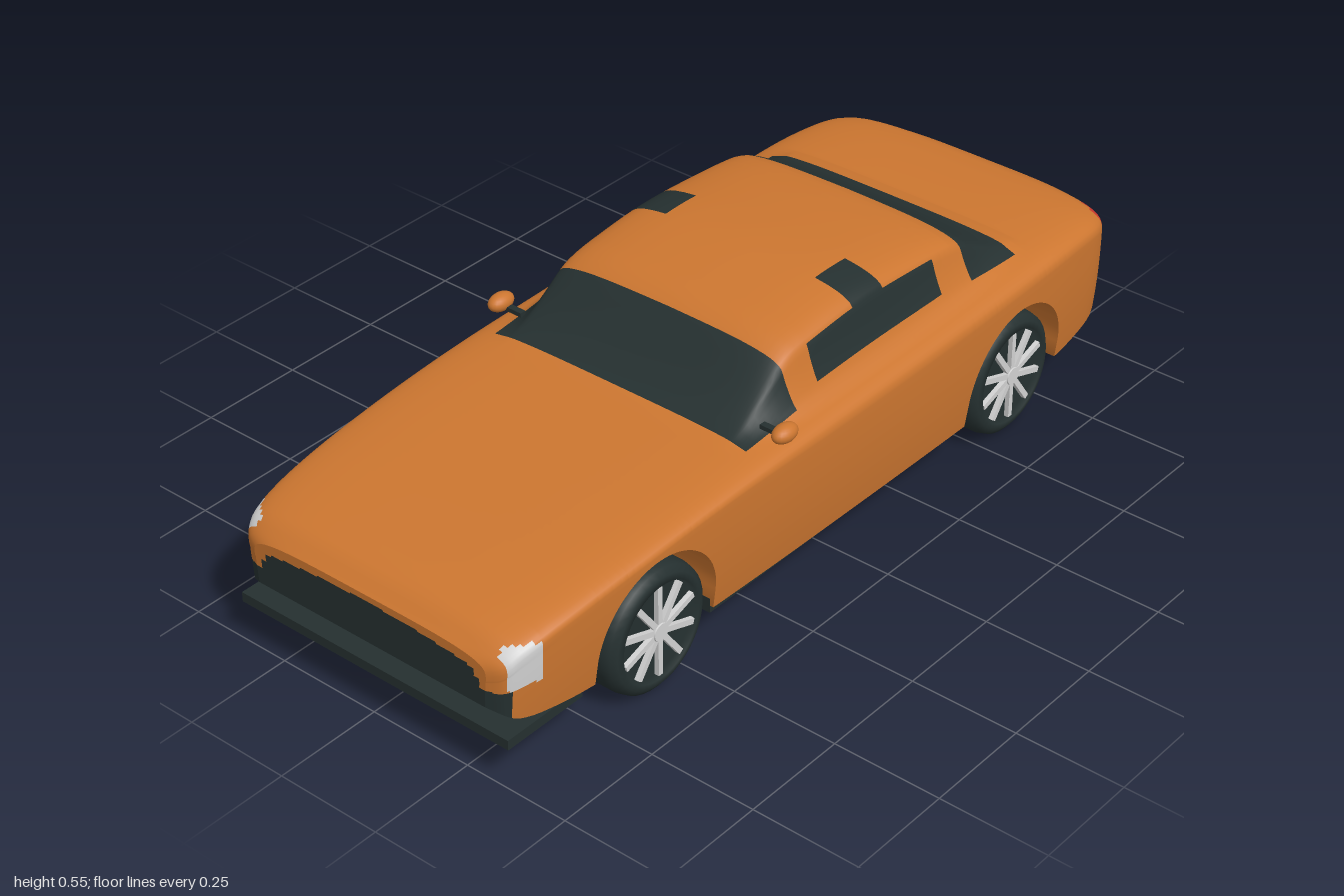
import * as THREE from 'three';

const flat = (name, color) => Object.assign(new THREE.MeshStandardMaterial({ color }), { name });
const orange = flat('orange paint', 0xcc7630);
const dark = flat('dark glass and trim', 0x253030);
const silver = flat('silver', 0xd2d2d2);
const red = flat('tail light red', 0xcc382e);
const PALETTE = [orange, dark, silver, red];
const ORANGE = 0, DARK = 1, SILVER = 2, RED = 3;

// Smooth curve through [position, value] pairs sorted by position
function curve(pts) {
  const n = pts.length - 1;
  const slope = i => {
    const a = pts[Math.max(0, i - 1)], b = pts[Math.min(n, i + 1)];
    return (b[1] - a[1]) / (b[0] - a[0]);
  };
  return p => {
    if (p <= pts[0][0]) return pts[0][1];
    if (p >= pts[n][0]) return pts[n][1];
    let i = 0;
    while (p > pts[i + 1][0]) i++;
    const d = pts[i + 1][0] - pts[i][0], t = (p - pts[i][0]) / d, t2 = t * t, t3 = t2 * t;
    return (2 * t3 - 3 * t2 + 1) * pts[i][1] + (t3 - 2 * t2 + t) * d * slope(i)
      + (3 * t2 - 2 * t3) * pts[i + 1][1] + (t3 - t2) * d * slope(i + 1);
  };
}

// Body lines along z, rear to front
const halfWidth = curve([[-1, .29], [-.985, .325], [-.96, .355], [-.92, .378], [-.85, .39], [-.7, .4], [-.4, .402],
  [0, .4], [.3, .397], [.6, .39], [.8, .38], [.9, .37], [.95, .36], [.975, .35], [.99, .335], [1, .31]]);
const deck = curve([[-1, .37], [-.95, .395], [-.85, .41], [-.7, .415], [-.4, .408], [0, .4], [.2, .392],
  [.4, .38], [.6, .365], [.8, .345], [.95, .318], [1, .285]]);
const cabinRise = curve([[-.7, 0], [-.62, .025], [-.55, .065], [-.5, .1], [-.45, .12], [-.3, .14], [-.15, .15],
  [0, .14], [.08, .127], [.12, .104], [.15, .078], [.2, .038], [.25, .01], [.3, 0]]);
const shoulderDepth = curve([[-1, .06], [-.6, .07], [0, .07], [.4, .045], [.8, .042], [1, .05]]);
const sill = curve([[-1, .17], [-.95, .145], [-.85, .12], [-.76, .108], [-.42, .1], [.42, .1], [.76, .11],
  [.9, .125], [.96, .14], [1, .17]]);
// Cabin height across the car, by fraction of the half width
const cabinShape = curve([[0, 1], [.3, .985], [.5, .96], [.625, .92], [.7, .865], [.745, .77], [.775, .52],
  [.82, .22], [.86, .07], [.9, 0]]);

const AXLE = .59, ARCH = .17, ARCH_Y = .15;
const lowerEdge = z => {
  const d = Math.abs(Math.abs(z) - AXLE);
  return d < ARCH + .0001 ? ARCH_Y + Math.sqrt(Math.max(0, ARCH * ARCH - d * d)) : sill(z);
};

const ACROSS = [1, .9995, .998, .993, .985, .97, .95, .925, .9, .875, .85, .835, .82, .8, .785, .77, .757, .745,
  .73, .71, .68, .64, .58, .5, .42, .33, .22, .11, 0];
const SIDE_STEPS = 24;

// Half of one cross-section, from the lower edge up to the centre line
function halfSection(z) {
  const w = halfWidth(z), top = deck(z), y0 = lowerEdge(z);
  const ys = Math.max(top - shoulderDepth(z), y0 + .002), pts = [];
  for (let i = 0; i < SIDE_STEPS; i++) {
    const y = y0 + (ys - y0) * i / SIDE_STEPS;
    pts.push([w * (1 - .035 * (Math.max(0, .32 - y) / .2) ** 2), y]);
  }
  const rise = Math.max(0, cabinRise(z));
  for (const f of ACROSS) {
    const y = ys + (top - ys) * (1 - f ** 4) ** .25;
    pts.push([w * f, y + rise * Math.max(0, cabinShape(f))]);
  }
  return pts;
}

// Surface from rows of points; paint() picks a colour for each cell
function surface(name, rows, paint) {
  const cols = rows[0].length, buckets = PALETTE.map(() => []), c = new THREE.Vector3();
  for (let i = 0; i < rows.length - 1; i++) for (let j = 0; j < cols - 1; j++) {
    const p = [rows[i][j], rows[i][j + 1], rows[i + 1][j], rows[i + 1][j + 1]];
    c.set(0, 0, 0);
    p.forEach(q => c.addScaledVector(q, .25));
    const a = i * cols + j, d = a + cols;
    buckets[paint(c)].push(a, a + 1, d, a + 1, d + 1, d);
  }
  const geo = new THREE.BufferGeometry().setFromPoints(rows.flat());
  geo.setIndex(buckets.flat());
  let start = 0;
  buckets.forEach((b, m) => {
    if (b.length) geo.addGroup(start, b.length, m);
    start += b.length;
  });
  geo.computeVertexNormals();
  const mesh = new THREE.Mesh(geo, PALETTE);
  mesh.name = name;
  return mesh;
}

const between = (v, a, b) => v > a && v < b;
function paintBody({ x, y, z }) {
  const ax = Math.abs(x), f = ax / halfWidth(z);
  if (between(z, .11, .27) && f < .85) return DARK;                          // windscreen
  if (between(z, -.65, -.49) && f < .84) return DARK;                        // rear window
  if (between(z, -.39, .03) && between(f, .745, .82)) return DARK;           // side windows
  if (between(z, -.22, -.12) && between(f, .5, .746)) return DARK;           // roof panels
  if (between(z, .905, .981) && between(y, .213, .302) && ax > .322) return SILVER; // headlights
  if (z < -.945 && between(y, .27, .38) && ax > .295) return RED;            // tail lights
  if (z > .95 && ax < .285 && y < .27 - .25 * x * x) return DARK;            // grille
  if (z > .97 && y < .21) return DARK;
  return ORANGE;
}

function buildBody(body) {
  // Stations along z, with extra ones at wheel arches and window edges
  let zs = [.27, .11, .03, -.12, -.22, -.39, -.49, -.65, .905, -.945];
  for (let i = -50; i <= 50; i++) zs.push(i / 50);
  for (const s of [-1, 1]) {
    zs.push(...[.995, .99, .985, .975, .97, .95].map(v => v * s));
    for (let k = 0; k <= 28; k++) zs.push(s * AXLE + ARCH * Math.cos(Math.PI * k / 28));
    zs.push(s * AXLE - ARCH - .001, s * AXLE + ARCH + .001);
  }
  zs = zs.sort((a, b) => a - b).filter((z, i, all) => i === 0 || z - all[i - 1] > .0004);

  const shell = zs.map(z => {
    const half = halfSection(z);
    const left = half.map(([x, y]) => new THREE.Vector3(x, y, z));
    const right = half.slice(0, -1).reverse().map(([x, y]) => new THREE.Vector3(-x, y, z));
    return [...left, ...right];
  });
  body.add(surface('bodyShell', shell, paintBody));

  // Underside, rising into the wheel arches
  const under = zs.map(z => {
    const [x, y] = halfSection(z)[0];
    return Array.from({ length: 17 }, (_, j) => new THREE.Vector3(x * (j / 8 - 1), y, z));
  });
  body.add(surface('underside', under, c => {
    if (Math.abs(Math.abs(c.z) - AXLE) < ARCH + .001) return ORANGE;
    return c.z > .9 && Math.abs(c.x) > .24 ? ORANGE : DARK;
  }));

  // Nose and tail faces
  for (const [name, s] of [['noseFace', 1], ['tailFace', -1]]) {
    const rows = halfSection(s).map(([x, y]) =>
      Array.from({ length: 41 }, (_, j) => new THREE.Vector3(s * x * (j / 20 - 1), y, s)));
    body.add(surface(name, rows, paintBody));
  }
}

function part(parent, name, geometry, material, x = 0, y = 0, z = 0) {
  const mesh = new THREE.Mesh(geometry, material);
  mesh.name = name;
  mesh.position.set(x, y, z);
  parent.add(mesh);
  return mesh;
}
const box = (w, h, d) => new THREE.BoxGeometry(w, h, d);

// Wheel with its outer face towards +x
function makeWheel() {
  const wheel = new THREE.Group();
  const profile = [[0, -.0575], [.11, -.0575], [.127, -.055], [.14, -.045], [.145, -.025], [.145, .025], [.14, .045],
    [.127, .055], [.112, .0575], [.108, .044], [0, .044]].map(p => new THREE.Vector2(...p));
  part(wheel, 'tyre', new THREE.LatheGeometry(profile, 40), dark).rotation.z = -Math.PI / 2;
  for (let i = 0; i < 10; i++) {
    const a = i * Math.PI / 5;
    const spoke = part(wheel, 'spoke', box(.012, .092, .013), silver, .049, .06 * Math.cos(a), .06 * Math.sin(a));
    spoke.rotation.x = a;
  }
  part(wheel, 'hub', new THREE.CylinderGeometry(.02, .024, .016, 20), silver, .05).rotation.z = -Math.PI / 2;
  return wheel;
}

export function createModel() {
  const car = new THREE.Group();
  car.name = 'car';
  const body = new THREE.Group();
  body.name = 'body';
  car.add(body);
  buildBody(body);

  // Floor, axle housings and front splitter
  part(body, 'floor', box(.74, .035, .84), dark, 0, .1005, 0);
  for (const s of [-1, 1]) part(body, 'axleHousing', box(.54, .08, .35), dark, 0, .15, s * AXLE);
  part(body, 'frontSplitter', box(.72, .023, .21), dark, 0, .1065, .895);

  for (const s of [-1, 1]) {
    // Door mirrors
    part(body, 'mirrorStalk', box(.06, .01, .015), dark, s * .352, .4, .2);
    part(body, 'mirror', new THREE.SphereGeometry(1, 20, 14), orange, s * .382, .409, .203).scale.set(.022, .02, .034);
    // Exhaust tips
    part(body, 'exhaustTip', new THREE.CylinderGeometry(.017, .017, .07, 20), silver, s * .17, .147, -.962)
      .rotation.x = Math.PI / 2;
    for (const [name, z] of [['frontWheel', AXLE], ['rearWheel', -AXLE]]) {
      const wheel = makeWheel();
      wheel.name = name;
      wheel.position.set(s * .332, .145, z);
      if (s < 0) wheel.rotation.y = Math.PI;
      car.add(wheel);
    }
  }
  return car;
}
